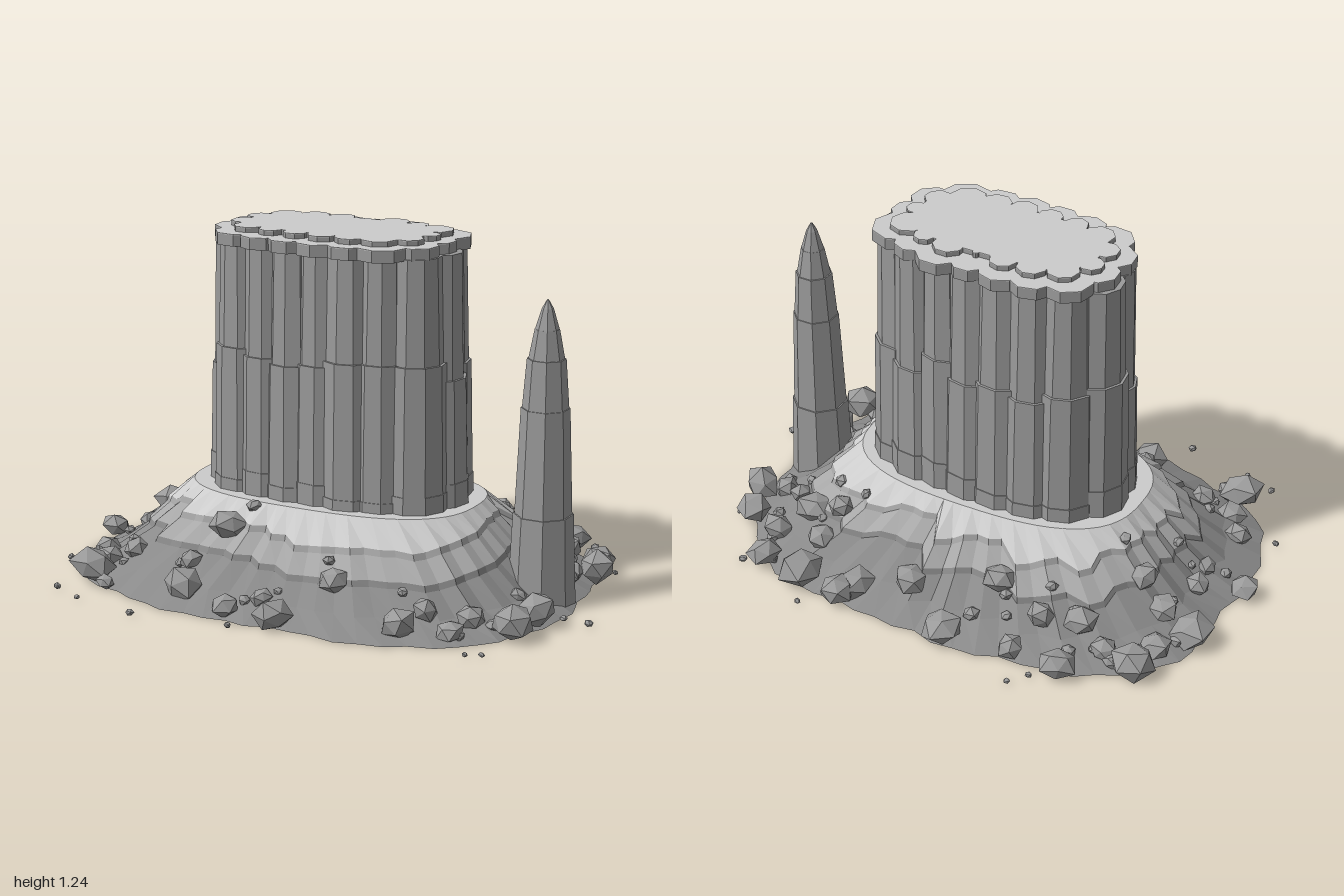
import * as THREE from 'three';
import { mergeGeometries } from 'three/addons/utils/BufferGeometryUtils.js';

let seed = 7;
const rand = () => (seed = (seed * 16807) % 2147483647) / 2147483647;
const jitter = (s) => (rand() * 2 - 1) * s;

const CX = -0.032, CZ = -0.015;
const PALE = 0xcccccc, ROCK = 0x9a9a9a, DARK = 0x8a8a8a;

function add(group, name, geometry, color) {
  const flat = geometry.index ? geometry.toNonIndexed() : geometry;
  flat.computeVertexNormals();
  const mesh = new THREE.Mesh(flat,
    new THREE.MeshStandardMaterial({ color, flatShading: true, side: THREE.DoubleSide }));
  mesh.name = name;
  group.add(mesh);
}

// Distance from the centre to a superellipse in direction t
const radius = (a, b, n, t) =>
  Math.pow(Math.abs(Math.cos(t) / a) ** n + Math.abs(Math.sin(t) / b) ** n, -1 / n);
const rimRadius = (t) => radius(0.535, 0.315, 2.7, t);
const baseRadius = (t) => radius(0.9, 0.67, 3, t)
  + 0.01 * Math.sin(7 * t + 1) + 0.008 * Math.sin(13 * t) + 0.008 * Math.sin(29 * t);

// Evenly spaced points round a superellipse
function ringPoints(a, b, n, count) {
  const pts = [];
  for (let i = 0; i < 64; i++) {
    const t = (i / 64) * Math.PI * 2, r = radius(a, b, n, t);
    pts.push(new THREE.Vector3(CX + r * Math.cos(t), 0, CZ + r * Math.sin(t)));
  }
  return new THREE.CatmullRomCurve3(pts, true).getSpacedPoints(count).slice(0, count);
}

// Slope profile from rim to foot: [fraction outward, height, ledge wander]
const SLOPE = [[-0.35, 0.31, 0], [0, 0.31, 0], [0.2, 0.24, 0.09], [0.22, 0.218, 0.09],
  [0.4, 0.153, 0.08], [0.42, 0.132, 0.08], [0.68, 0.055, 0.03], [1, 0, 0]];

function slopeHeight(x, z) {
  const t = Math.atan2(z - CZ, x - CX), rim = rimRadius(t);
  const f = (Math.hypot(x - CX, z - CZ) - rim) / (baseRadius(t) - rim);
  for (let j = 2; j < SLOPE.length; j++) {
    const [f0, y0] = SLOPE[j - 1], [f1, y1] = SLOPE[j];
    if (f < f1) return y0 + (y1 - y0) * Math.max(0, (f - f0) / (f1 - f0));
  }
  return 0;
}

// One band of the open scree skirt, with zigzag ledges and radial grooves
function slopeBand(first, last) {
  seed = 7;
  const N = 72, pos = [], idx = [], wander = [], groove = [];
  for (let i = 0; i < N; i++) {
    wander.push(i % 2 ? wander[i - 1] : jitter(1));
    groove.push((i % 2 ? 1 : -1) * 0.009 + jitter(0.007));
  }
  SLOPE.slice(first, last + 1).forEach(([f, y, w], j) => {
    for (let i = 0; i < N; i++) {
      const u = (i / N) * Math.PI * 2;
      const t = Math.atan2(0.65 * Math.sin(u), 0.88 * Math.cos(u));
      const rim = rimRadius(t), span = baseRadius(t) - rim;
      const shift = wander[i] * w;
      const r = rim + span * (f + shift) + (w ? groove[i] : 0);
      pos.push(CX + r * Math.cos(t), y - shift * 0.33, CZ + r * Math.sin(t));
      if (j) {
        const k = (i + 1) % N, a = (j - 1) * N;
        idx.push(a + i, a + k, a + N + i, a + k, a + N + k, a + N + i);
      }
    }
  });
  const g = new THREE.BufferGeometry();
  g.setAttribute('position', new THREE.Float32BufferAttribute(pos, 3));
  g.setIndex(idx);
  return g;
}

// Tapered prism between two heights
function prism(x, z, y0, y1, r0, r1, sides, turn) {
  return new THREE.CylinderGeometry(r1, r0, y1 - y0, sides).rotateY(turn).translate(x, (y0 + y1) / 2, z);
}

// Flat plate with a lobed edge: an oval core and a disc per lobe, leaving one notch
function plate(a, b, lobe, y0, y1, count, notch) {
  seed = 11;
  const shape = new THREE.Shape(ringPoints(a, b, 3, 32).map((p) => new THREE.Vector2(p.x, -p.z)));
  const core = new THREE.ExtrudeGeometry(shape, { depth: y1 - y0, bevelEnabled: false })
    .rotateX(-Math.PI / 2).translate(0, y0, 0);
  const parts = [core];
  ringPoints(a, b, 3, count).forEach((p, i) => {
    const r = (i === notch ? 0.3 : 1) * (lobe + jitter(0.016));
    parts.push(prism(p.x, p.z, y0, y1, r, r, 8, rand() * 6).toNonIndexed());
  });
  return mergeGeometries(parts);
}

// Angular boulder: an icosahedron with its corners pushed about
function boulder(x, y, z, r) {
  const g = new THREE.IcosahedronGeometry(r, 0), p = g.attributes.position;
  const k = rand() * 9, v = new THREE.Vector3();
  for (let i = 0; i < p.count; i++) {
    v.fromBufferAttribute(p, i);
    const q = v.clone().divideScalar(r);
    v.multiplyScalar(1 + 0.14 * Math.sin(q.x * 5 + q.y * 7 + q.z * 3 + k));
    p.setXYZ(i, v.x, v.y, v.z);
  }
  g.rotateX(rand() * 6).rotateY(rand() * 6).scale(1, 0.85, 1);
  g.computeBoundingBox();
  return g.translate(x, Math.max(y, -g.boundingBox.min.y), z);
}

// Boulders: x, z, size
const BOULDERS = [
  [-.57, -.65, .06], [-.38, -.63, .045], [-.14, -.67, .07], [.28, -.67, .06], [.45, -.63, .08],
  [.63, -.6, .055], [.25, -.6, .065], [.06, -.54, .055], [-.25, -.46, .055], [-.56, -.46, .06],
  [-.43, -.5, .05], [-.79, -.52, .075], [-.67, -.5, .045], [-.81, -.4, .055], [-.89, -.28, .07],
  [-.77, -.25, .05], [-.68, -.22, .05], [-.945, .04, .05], [-.81, -.05, .045], [-.8, .04, .035],
  [.46, -.48, .05], [.55, -.38, .065], [.43, -.39, .045], [.66, -.46, .055], [.81, -.4, .06],
  [.66, -.3, .04], [.85, -.27, .065], [.77, -.24, .045], [.83, .22, .065], [.81, .37, .07],
  [.67, .38, .045], [.53, .44, .045], [.48, .54, .06], [.2, .46, .05], [.07, .65, .06],
  [-.13, .62, .048], [-.03, .55, .035], [-.26, .37, .06], [-.33, .55, .068], [-.36, .46, .04],
  [-.72, .53, .072], [-.63, .39, .045], [-.81, .3, .045], [-.74, .4, .05], [.64, .48, .045],
];
const PEBBLES = [
  [-.49, -.7], [-.44, -.76], [.4, -.74], [.7, -.63], [.87, -.4], [.89, .12], [.985, .13],
  [.74, .58], [.79, .56], [-.07, .705], [-.42, .76], [-.67, .705], [-.93, .36], [-.79, .65],
];

export function createModel() {
  const model = new THREE.Group();

  // Scree skirt, darker towards its foot
  add(model, 'upperSlope', slopeBand(0, 2), PALE);
  add(model, 'middleSlope', slopeBand(2, 4), 0xa8a8a8);
  add(model, 'lowerSlope', slopeBand(4, 7), DARK);

  // Wall of clustered columns, each in three stepped lengths
  const columns = [];
  ringPoints(0.375, 0.166, 3, 17).forEach((p) => {
    const size = 1 + jitter(0.09), turn = rand() * 6;
    const y1 = 0.38 + jitter(0.035), y2 = 0.78 + jitter(0.05);
    const lengths = [[0, y1, 0.123, 0.116], [y1, y2, 0.113, 0.104], [y2, 1.185, 0.095, 0.085]];
    for (const [a, b, r0, r1] of lengths) {
      columns.push(prism(p.x, p.z, a, b, r0 * size, r1 * size, 10, turn));
    }
  });
  add(model, 'cliffColumns', mergeGeometries(columns), ROCK);

  // Two-step summit: dark lobed rims under pale lids
  for (const [name, a, b, lobe, y0, y1, count, notch] of [
    ['lowerCap', 0.372, 0.198, 0.085, 1.18, 1.222, 17, -1],
    ['upperCap', 0.345, 0.165, 0.055, 1.222, 1.24, 17, 13]]) {
    add(model, name + 'Rim', plate(a, b, lobe, y0, y1 - 0.003, count, notch), ROCK);
    add(model, name + 'Lid', plate(a, b, lobe, y1 - 0.003, y1, count, notch), PALE);
  }

  // Lone spire: stepped octagonal lengths with a pointed tip
  const spire = [[0, 0.32, 0.117, 0.103], [0.32, 0.69, 0.098, 0.083], [0.69, 0.86, 0.079, 0.066],
    [0.86, 0.96, 0.061, 0.042], [0.96, 1.03, 0.041, 0.02], [1.03, 1.06, 0.02, 0.003]];
  add(model, 'spire', mergeGeometries(
    spire.map(([a, b, r0, r1]) => prism(0.752, -0.012, a, b, r0, r1, 8, Math.PI / 8))), ROCK);

  // Fallen rock, each boulder with a small fragment on its inner side
  const rocks = [];
  for (const [x, z, r] of BOULDERS) {
    rocks.push(boulder(x, slopeHeight(x, z) + r * 0.3, z, r * 1.06));
    const fx = x * 0.95 + jitter(0.07), fz = z * 0.95 + jitter(0.07);
    rocks.push(boulder(fx, slopeHeight(fx, fz) + 0.008, fz, r * 0.45));
  }
  add(model, 'boulders', mergeGeometries(rocks), ROCK);
  add(model, 'pebbles', mergeGeometries(
    PEBBLES.map(([x, z]) => boulder(x, 0, z, 0.013 + jitter(0.003)))), ROCK);

  return model;
}
